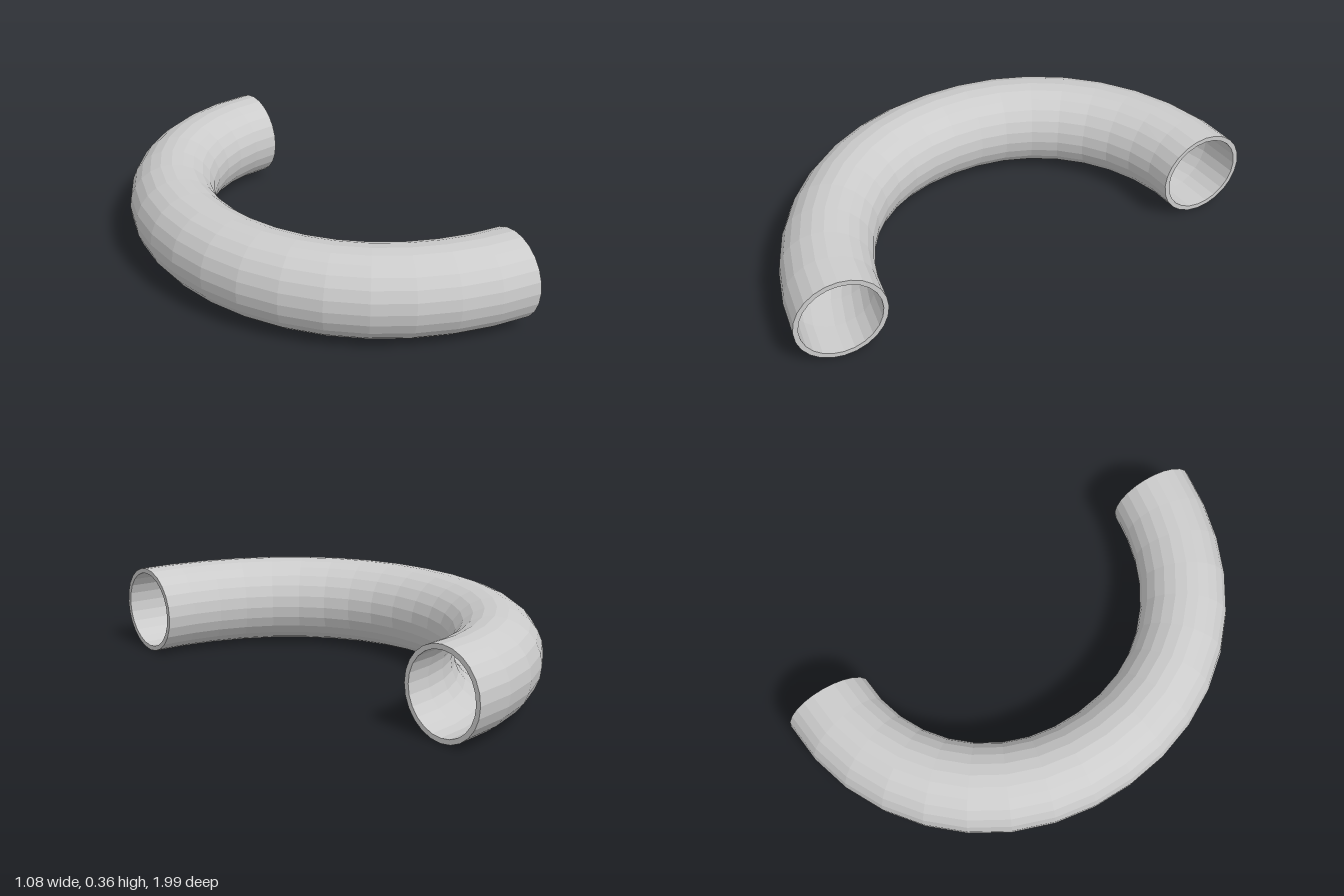
import * as THREE from 'three';

const SIDES = 24, STEPS = 18;
const OUTER = 0.18, INNER = 0.16, HEIGHT = 0.183;

const at = (x, z) => new THREE.Vector3(x, HEIGHT, z);

// Centre line: a tighter back quarter bend running into a wider front one
function bendPath() {
  const path = new THREE.CurvePath();
  path.add(new THREE.CubicBezierCurve3(at(0.36, -0.817), at(-0.04, -0.799), at(-0.362, -0.477), at(-0.362, -0.06)));
  path.add(new THREE.CubicBezierCurve3(at(-0.362, -0.06), at(-0.362, 0.44), at(0.01, 0.794), at(0.53, 0.816)));
  return path;
}

// Circular cross-section square to the path
function ring(path, u, radius) {
  const c = path.getPoint(u), t = path.getTangent(u);
  const out = new THREE.Vector3(-t.z, 0, t.x).normalize();
  return Array.from({ length: SIDES }, (_, j) => {
    const a = (j / SIDES) * Math.PI * 2;
    const p = c.clone().addScaledVector(out, Math.cos(a) * radius);
    p.y += Math.sin(a) * radius;
    return p;
  });
}

function pipeGeometry() {
  const path = bendPath();
  const outer = [], inner = [], points = [];
  for (let i = 0; i <= STEPS; i++) {
    outer.push(ring(path, i / STEPS, OUTER));
    inner.push(ring(path, i / STEPS, INNER));
  }
  const strip = (a, b) => {
    for (let j = 0; j < SIDES; j++) {
      const k = (j + 1) % SIDES;
      points.push(a[j], b[j], a[k], a[k], b[j], b[k]);
    }
  };
  // Outer wall and bore
  for (let i = 0; i < STEPS; i++) {
    strip(outer[i], outer[i + 1]);
    strip(inner[i + 1], inner[i]);
  }
  // Annular rims at both open ends
  strip(inner[0], outer[0]);
  strip(outer[STEPS], inner[STEPS]);

  const geometry = new THREE.BufferGeometry().setFromPoints(points);
  geometry.computeVertexNormals();
  return geometry;
}

export function createModel() {
  const group = new THREE.Group();
  group.name = 'pipeBend';
  const pipe = new THREE.Mesh(
    pipeGeometry(),
    new THREE.MeshStandardMaterial({ color: 0xcccccc, flatShading: true })
  );
  pipe.name = 'curvedPipe';
  group.add(pipe);
  return group;
}
